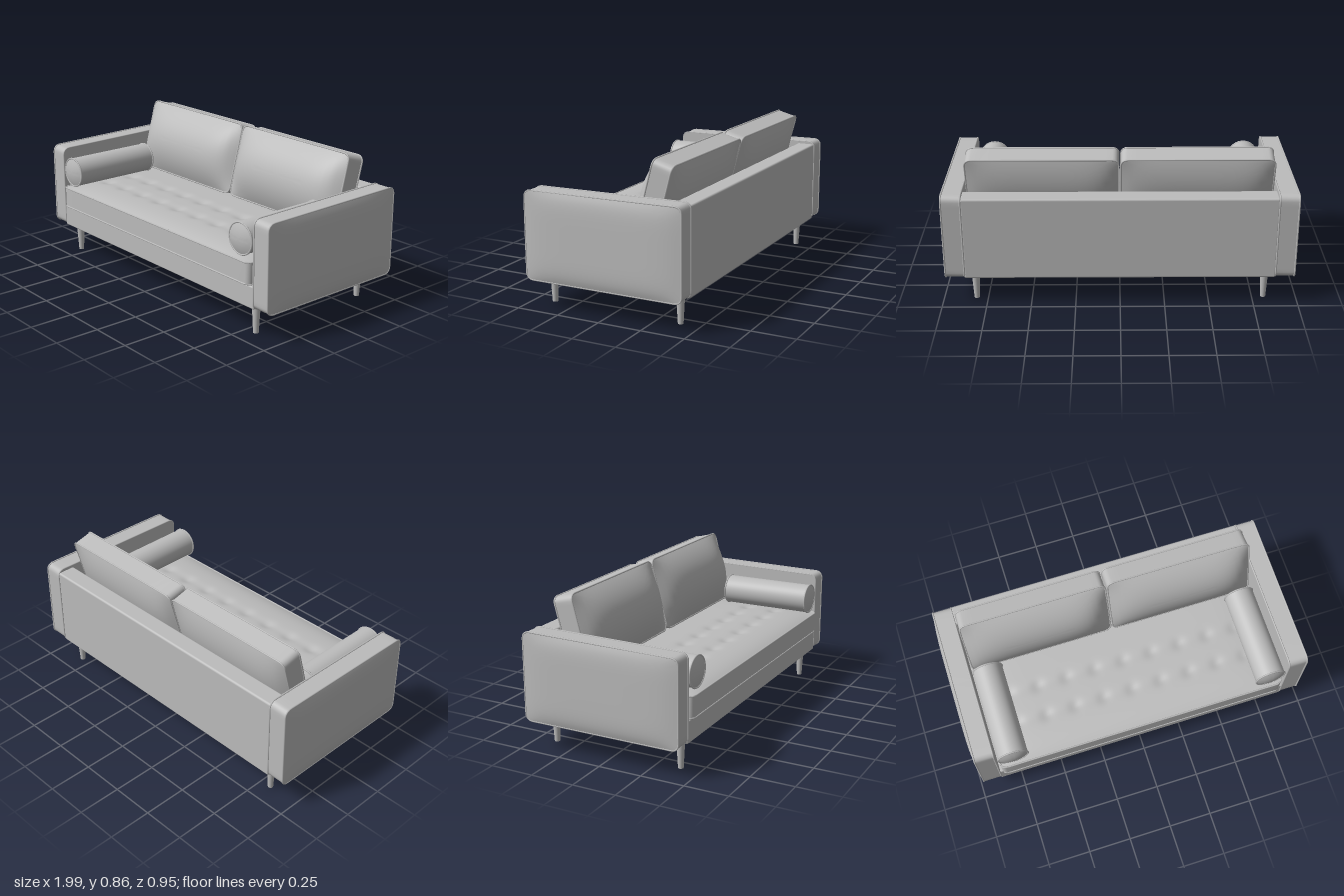
import * as THREE from 'three';
import { mergeVertices, toCreasedNormals } from 'three/addons/utils/BufferGeometryUtils.js';
import { RoundedBoxGeometry } from 'three/addons/geometries/RoundedBoxGeometry.js';

const fabric = new THREE.MeshStandardMaterial({ color: 0xbcbcbc });
fabric.name = 'grey fabric';

function add(parent, name, geometry, x = 0, y = 0, z = 0) {
  const mesh = new THREE.Mesh(geometry, fabric);
  mesh.name = name;
  mesh.position.set(x, y, z);
  parent.add(mesh);
  return mesh;
}

// Rounded rectangle outline, counter-clockwise; slope tilts the top edge
function outline(w, h, r, slope = 0) {
  const corners = [[1, -1], [1, 1], [-1, 1], [-1, -1]];
  const pts = [];
  corners.forEach(([cx, cy], i) => {
    const arc = [];
    for (let k = 0; k <= 5; k++) {
      const a = (i - 1 + k / 5) * Math.PI / 2;
      arc.push(new THREE.Vector2(cx * (w / 2 - r) + r * Math.cos(a), cy * (h / 2 - r) + r * Math.sin(a)));
    }
    pts.push(...arc);
    // subdivide the straight edge to the next corner
    const [nx, ny] = corners[(i + 1) % 4];
    const a = (i + 1 - 1) * Math.PI / 2;
    const end = new THREE.Vector2(nx * (w / 2 - r) + r * Math.cos(a), ny * (h / 2 - r) + r * Math.sin(a));
    for (let k = 1; k < 16; k++) pts.push(arc[5].clone().lerp(end, k / 16));
  });
  pts.forEach(p => { p.y += slope * p.x * (p.y / h + 0.5); });
  return pts;
}

// Upholstered block: outline in XY, thickness d along Z, with domed faces
function pillow(pts, w, h, d, front, back, powX, powY) {
  const n = pts.length, rings = 12, pos = [], idx = [];
  const ring = (s, side, bulge) => pts.forEach(p => {
    const x = p.x * s, y = p.y * s;
    const u = Math.min(1, Math.abs(2 * x / w)), v = Math.min(1, Math.abs(2 * y / h));
    const dome = bulge * (1 - u ** powX) * (1 - v ** powY);
    pos.push(x, y, side * (d / 2 + dome));
  });
  for (let i = 0; i <= rings; i++) ring(Math.max(0.001, i / rings), -1, back);
  for (let i = rings; i >= 0; i--) ring(Math.max(0.001, i / rings), 1, front);
  for (let j = 0; j < 2 * rings + 1; j++) {
    for (let i = 0; i < n; i++) {
      const a = j * n + i, b = j * n + (i + 1) % n;
      idx.push(a, b, b + n, a, b + n, a + n);
    }
  }
  // close the tiny centre holes
  const last = (2 * rings + 1) * n;
  for (let i = 1; i < n - 1; i++) idx.push(0, i + 1, i, last, last + i, last + i + 1);
  const g = new THREE.BufferGeometry();
  g.setAttribute('position', new THREE.Float32BufferAttribute(pos, 3));
  g.setIndex(idx);
  return toCreasedNormals(g, 0.7);
}

// Piping cord that follows an outline at depth z
function piping(pts, z, radius = 0.005) {
  const curve = new THREE.CatmullRomCurve3(pts.map(p => new THREE.Vector3(p.x, p.y, z)), true);
  return new THREE.TubeGeometry(curve, 160, radius, 6, true);
}

function arm(s) {
  const g = new THREE.Group();
  g.name = s > 0 ? 'leftArm' : 'rightArm';
  const w = 0.925, h = 0.495, d = 0.112;
  const pts = outline(w, h, 0.035, s * 0.012);
  add(g, 'armBody', pillow(pts, w, h, d, 0.018, 0, 6, 6));
  for (const z of [-d / 2 + 0.004, d / 2 - 0.002]) add(g, 'armPiping', piping(pts, z));
  g.rotation.y = s * Math.PI / 2;
  g.position.set(s * 0.919, 0.411, -0.008);
  return g;
}

function backCushion(s) {
  const g = new THREE.Group();
  g.name = s > 0 ? 'leftBackCushion' : 'rightBackCushion';
  const w = 0.842, h = 0.42, d = 0.112;
  const pts = outline(w, h, 0.035);
  add(g, 'cushionBody', pillow(pts, w, h, d, 0.083, 0.045, 6, 2));
  for (const z of [-d / 2, d / 2]) add(g, 'cushionPiping', piping(pts, z));
  g.rotation.x = -0.26;
  g.position.set(s * 0.427, 0.641, -0.246);
  return g;
}

function seatCushion() {
  const g = new THREE.Group();
  g.name = 'seatCushion';
  const w = 1.7, depth = 0.83, tall = 0.118;
  const pts = outline(w, depth, 0.03);
  const block = new THREE.Group();
  block.name = 'seatBlock';
  add(block, 'seatBody', pillow(pts, w, depth, tall, 0, 0, 2, 2));
  for (const z of [-tall / 2, tall / 2]) add(block, 'seatPiping', piping(pts, z));
  block.rotation.x = -Math.PI / 2;
  g.add(block);
  // Tufted top with two rows of dimples
  const top = new THREE.PlaneGeometry(w - 0.012, depth - 0.012, 110, 60).rotateX(-Math.PI / 2);
  const p = top.attributes.position;
  const centreZ = 0.058;
  for (let i = 0; i < p.count; i++) {
    const x = p.getX(i), z = p.getZ(i);
    const u = Math.abs(2 * x / (w - 0.012)), v = Math.abs(2 * z / (depth - 0.012));
    let y = 0.028 * (1 - u ** 10) * (1 - v ** 6);
    for (const rowZ of [0.07, 0.25]) {
      const dz = z + centreZ - rowZ;
      y -= 0.003 * Math.exp(-((dz / 0.03) ** 2)) * (1 - u ** 10);
      for (let k = -4; k <= 4; k++) {
        const dx = x - k * 0.172;
        y -= 0.010 * Math.exp(-(dx * dx + dz * dz) / 0.0012);
      }
    }
    p.setY(i, y);
  }
  top.computeVertexNormals();
  add(g, 'tuftedTop', top, 0, tall / 2 + 0.001, 0);
  g.position.set(0, 0.358, centreZ);
  return g;
}

function bolster(s) {
  const g = new THREE.Group();
  g.name = s > 0 ? 'leftBolster' : 'rightBolster';
  const r = 0.086, half = 0.27, dome = 0.018;
  const profile = [];
  for (let i = 0; i <= 6; i++) profile.push(new THREE.Vector2(r * i / 6, -half - dome * (1 - (i / 6) ** 2)));
  const ends = profile.map(p => new THREE.Vector2(p.x, -p.y)).reverse();
  const body = mergeVertices(new THREE.LatheGeometry([...profile, ...ends], 40).deleteAttribute('uv').deleteAttribute('normal'));
  add(g, 'bolsterBody', toCreasedNormals(body, 0.7).rotateX(Math.PI / 2));
  for (const z of [-half, half]) add(g, 'bolsterPiping', new THREE.TorusGeometry(r, 0.005, 6, 40), 0, 0, z);
  g.position.set(s * 0.765, 0.526, 0.184);
  return g;
}

export function createModel() {
  const sofa = new THREE.Group();
  sofa.name = 'sofa';

  // Frame
  add(sofa, 'baseFrame', new RoundedBoxGeometry(1.74, 0.125, 0.87, 3, 0.008), 0, 0.2275, 0.02);
  add(sofa, 'backPanel', new RoundedBoxGeometry(1.74, 0.485, 0.11, 4, 0.012), 0, 0.4075, -0.415);

  // Cushions, arms and legs
  sofa.add(seatCushion());
  for (const s of [-1, 1]) {
    sofa.add(arm(s), backCushion(s), bolster(s));
    for (const z of [-0.385, 0.385]) {
      add(sofa, z > 0 ? 'frontLeg' : 'backLeg', new THREE.CylinderGeometry(0.024, 0.015, 0.17, 24), s * 0.815, 0.085, z);
    }
  }
  return sofa;
}
